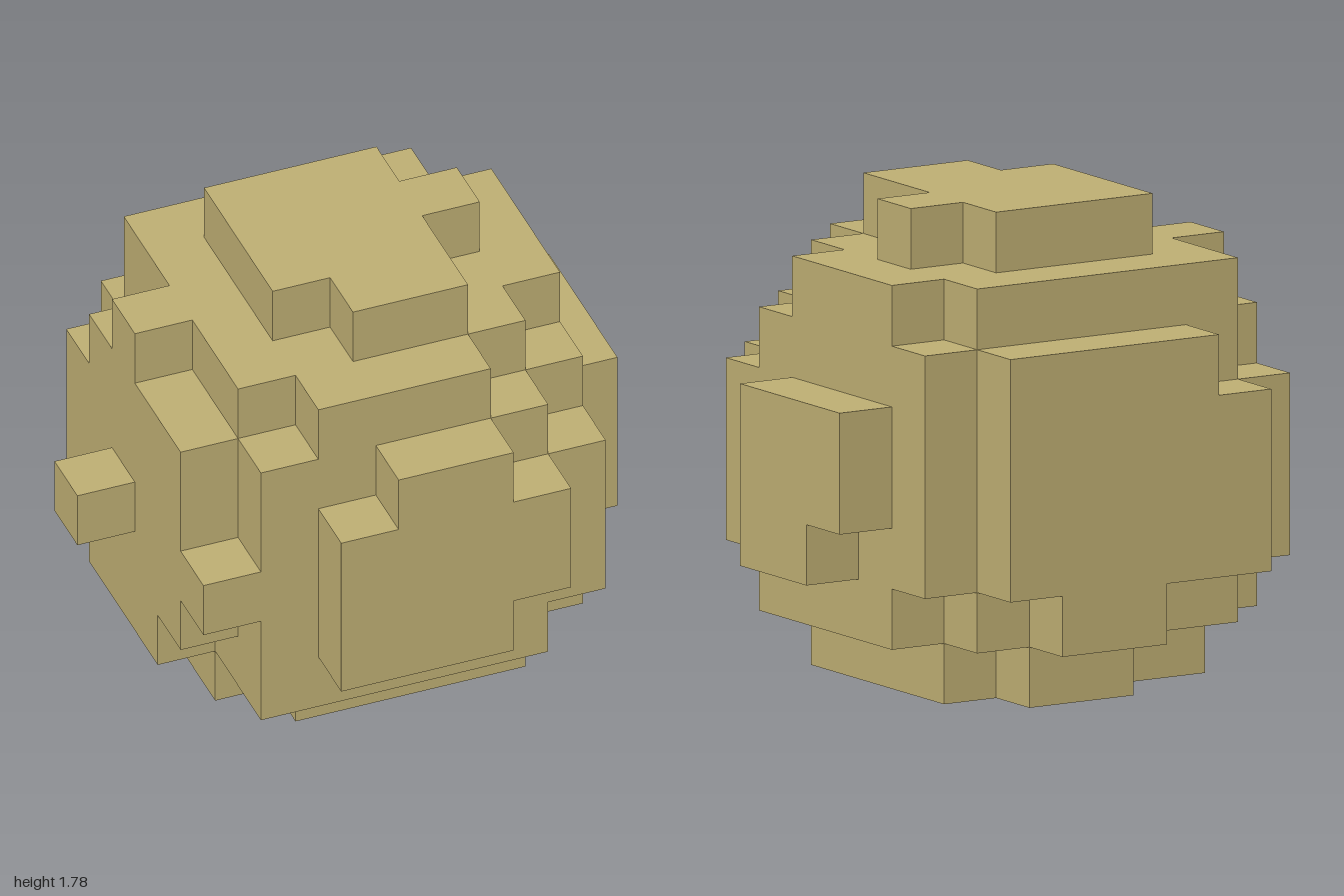
import * as THREE from 'three';

const U = 2 / 9; // edge of one cube

// Each layer, bottom to top: [name, first z row, first and last cube in x for every row]
const LAYERS = [
  ['bottomPlate', 1, ['45', '26', '26', '26', '36']],
  ['lowerBase', 0, ['45', '26', '17', '17', '17', '27', '26']],
  ['lowerBody', 0, ['26', '17', '17', '18', '18', '17', '27', '35']],
  ['middleBody', 0, ['26', '17', '18', '08', '18', '17', '17', '36']],
  ['upperBody', 0, ['26', '17', '18', '18', '18', '17', '27', '36']],
  ['shoulder', 0, ['36', '27', '17', '17', '17', '17', '26', '45']],
  ['crown', 1, ['26', '27', '17', '27', '26', '35']],
  ['topPlate', 2, ['35', '36', '35', '45']],
];

// Stepped outline of one layer, extruded one cube high
function layerGeometry(firstRow, rows) {
  const left = [];
  const right = [];
  rows.forEach((row, n) => {
    const x0 = Number(row[0]) * U - 1;
    const x1 = (Number(row[1]) + 1) * U - 1;
    for (const k of [n, n + 1]) {
      const y = (4 - firstRow - k) * U;
      left.push(new THREE.Vector2(x0, y));
      right.push(new THREE.Vector2(x1, y));
    }
  });
  const loop = [...left, ...right.reverse()];
  // drop repeated points, then points in the middle of a straight run
  const unique = loop.filter((p, i) => p.distanceTo(loop[(i + 1) % loop.length]) > 1e-6);
  const corners = unique.filter((p, i) => {
    const a = unique[(i + unique.length - 1) % unique.length];
    const b = unique[(i + 1) % unique.length];
    return Math.abs((p.x - a.x) * (b.y - p.y) - (p.y - a.y) * (b.x - p.x)) > 1e-6;
  });
  const geometry = new THREE.ExtrudeGeometry(new THREE.Shape(corners), { depth: U, bevelEnabled: false });
  return geometry.rotateX(-Math.PI / 2);
}

export function createModel() {
  const model = new THREE.Group();
  model.name = 'blockyBoulder';
  const sand = new THREE.MeshStandardMaterial({ color: 0xc0b074 });
  sand.name = 'sand';

  LAYERS.forEach(([name, firstRow, rows], level) => {
    const mesh = new THREE.Mesh(layerGeometry(firstRow, rows), sand);
    mesh.name = name;
    mesh.position.y = level * U;
    model.add(mesh);
  });
  return model;
}
